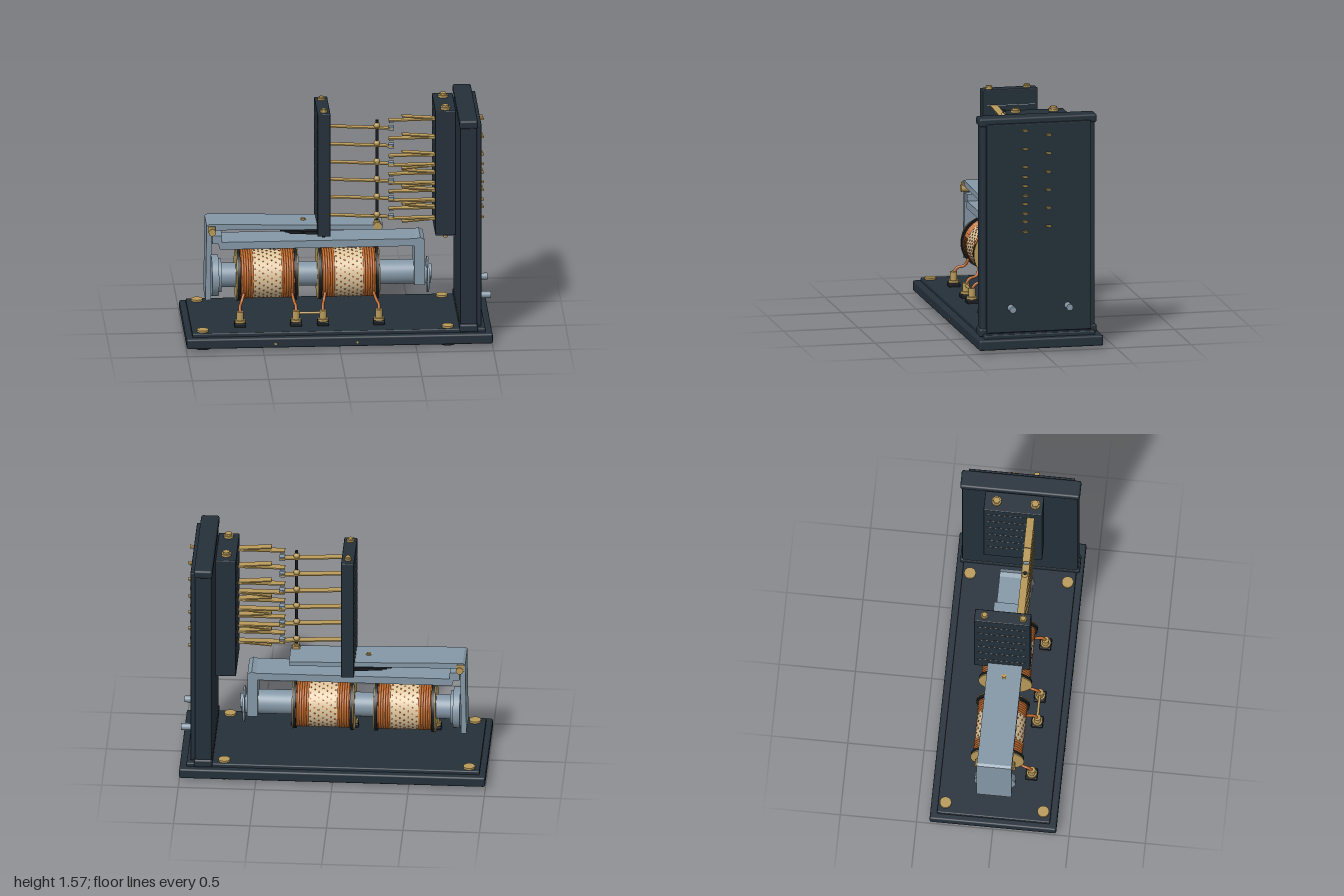
import * as THREE from 'three';
import { mergeGeometries } from 'three/addons/utils/BufferGeometryUtils.js';
import { RoundedBoxGeometry } from 'three/addons/geometries/RoundedBoxGeometry.js';

const mat = (name, color) => Object.assign(new THREE.MeshStandardMaterial({ color }), { name });

export function createModel() {
  const root = new THREE.Group();
  root.name = 'relay';
  const dark = mat('dark panel', 0x24303a), black = mat('black', 0x171c20), brass = mat('brass', 0xb89a5a),
    steel = mat('steel', 0x8497a6), copper = mat('copper', 0xc06a2c), cream = mat('cream wrap', 0xdcc6a0),
    pale = mat('pale seam', 0xa9b0b4);

  const add = (name, geo, m) => {
    const mesh = new THREE.Mesh(geo, m);
    mesh.name = name;
    root.add(mesh);
    return mesh;
  };
  // Box from its limits, with an optional rounded edge
  const box = (name, m, [x0, x1], [y0, y1], [z0, z1], r = 0) => {
    const s = [x1 - x0, y1 - y0, z1 - z0];
    const mesh = add(name, r ? new RoundedBoxGeometry(...s, 2, r) : new THREE.BoxGeometry(...s), m);
    mesh.position.set((x0 + x1) / 2, (y0 + y1) / 2, (z0 + z1) / 2);
    return mesh;
  };
  // Cylinder along an axis, centred on a point
  const rod = (name, m, axis, r, len, [x, y, z], sides = 24) => {
    const geo = new THREE.CylinderGeometry(r, r, len, sides);
    if (axis === 'x') geo.rotateZ(-Math.PI / 2);
    if (axis === 'z') geo.rotateX(Math.PI / 2);
    const mesh = add(name, geo, m);
    mesh.position.set(x, y, z);
    return mesh;
  };
  // Flat strip between two points in the xy plane
  const strip = (name, m, x0, y0, x1, y1, z, w, t) => {
    const mesh = add(name, new THREE.BoxGeometry(Math.hypot(x1 - x0, y1 - y0), t, w), m);
    mesh.position.set((x0 + x1) / 2, (y0 + y1) / 2, z);
    mesh.rotation.z = Math.atan2(y1 - y0, x1 - x0);
    return mesh;
  };
  // Profile in the xy plane, extruded symmetrically in z
  const plate = (name, m, pts, z0, z1) => {
    const geo = new THREE.ExtrudeGeometry(new THREE.Shape(pts.map(p => new THREE.Vector2(...p))),
      { depth: z1 - z0, bevelEnabled: false });
    add(name, geo.translate(0, 0, z0), m);
  };
  const screw = (name, x, y, z, r, h) => {
    rod(name + 'Washer', brass, 'y', r, h * 0.55, [x, y + h * 0.27, z]);
    rod(name + 'Head', brass, 'y', r * 0.75, h, [x, y + h / 2, z], 6);
  };

  // Base with feet and corner screws
  box('base', dark, [-1, 1], [0.02, 0.088], [-0.415, 0.415], 0.012);
  box('baseTop', dark, [-0.96, 0.955], [0.08, 0.113], [-0.37, 0.37], 0.008);
  for (const x of [-0.89, 0.71]) for (const z of [-0.32, 0.32]) {
    rod('foot', black, 'y', 0.052, 0.024, [x, 0.012, z]);
    rod('baseScrew', brass, 'y', 0.038, 0.014, [x, 0.119, z]);
  }
  for (const x of [-0.42, 0.115]) rod('basePin', brass, 'z', 0.008, 0.012, [x, 0.05, 0.414], 12);

  // Upright terminal panel with end caps, tabs and pegs
  box('panel', dark, [0.79, 0.9], [0.095, 1.54], [-0.38, 0.38], 0.012);
  for (const y of [0.092, 1.49]) box('panelCap', dark, [0.785, 0.905], [y, y + 0.056], [-0.392, 0.392], 0.014);
  box('panelPlate', dark, [0.89, 0.93], [0.12, 1.508], [-0.348, 0.348], 0.006);
  const upper = [1.465, 1.34, 1.22, 1.095, 0.975, 0.858];
  const lower = [1.155, 1.03, 0.912, 0.79];
  const moving = [1.43, 1.308, 1.185, 1.065, 0.945, 0.82];
  for (const y of [...upper, ...lower]) box('terminalTab', brass, [0.92, 0.96], [y - 0.005, y + 0.005], [0.08, 0.112]);
  for (const y of moving) box('terminalTab', brass, [0.92, 0.96], [y - 0.005, y + 0.005], [-0.076, -0.044]);
  for (const z of [-0.19, 0.19]) rod('panelPeg', steel, 'x', 0.022, 0.08, [0.96, 0.285, z]);

  // Contact holder blocks with through screws
  box('movingBlock', dark, [-0.13, -0.045], [0.692, 1.535], [-0.21, 0.158], 0.006);
  box('fixedBlock', dark, [0.64, 0.775], [0.685, 1.54], [-0.225, 0.16], 0.006);
  for (const z of [-0.145, 0.108]) {
    screw('movingBlockScrew', -0.087, 1.535, z, 0.024, 0.022);
    screw('fixedBlockScrew', 0.708, 1.54, z, 0.032, 0.028);
    rod('movingBlockBolt', black, 'y', 0.012, 0.02, [-0.087, 0.685, z], 12);
    rod('fixedBlockBolt', brass, 'y', 0.014, 0.03, [0.708, 0.675, z], 12);
  }
  // Thin seams on the block faces
  for (const y of moving) for (const x of [-0.131, -0.044])
    box('blockSeam', pale, [x - 0.001, x + 0.001], [y - 0.0015, y + 0.0015], [-0.19, 0.13]);
  for (const y of upper) box('blockSeam', pale, [0.638, 0.641], [y - 0.0015, y + 0.0015], [-0.2, 0.05]);

  // Moving leaf springs with contact tips and lifter collars
  const zc = 0.085;
  for (const y of moving) {
    strip('movingLeaf', brass, -0.06, y, 0.372, y - 0.023, zc, 0.048, 0.008);
    box('contactTip', steel, [0.338, 0.374], [y - 0.034, y - 0.008], [zc - 0.02, zc + 0.02]);
    add('lifterCollar', new THREE.SphereGeometry(0.021, 16, 12), brass).position.set(0.262, y - 0.002, zc);
  }
  // Fixed leaf springs with stiffeners
  const fixedLeaf = (y, dir) => {
    strip('fixedLeaf', brass, 0.338, y - 0.002, 0.66, y, zc, 0.05, 0.008);
    strip('leafStiffener', brass, 0.425, y + dir * 0.024, 0.66, y + dir * 0.006, zc, 0.05, 0.007);
    box('fixedContact', steel, [0.342, 0.37], dir > 0 ? [y - 0.018, y] : [y - 0.002, y + 0.014], [zc - 0.015, zc + 0.015]);
  };
  upper.forEach(y => fixedLeaf(y, 1));
  lower.forEach(y => fixedLeaf(y, -1));

  // Lifter rod standing on the armature
  rod('lifterRod', black, 'y', 0.01, 0.74, [0.262, 1.095, zc], 12);
  rod('lifterFoot', brass, 'z', 0.027, 0.05, [0.265, 0.742, zc]);
  rod('lifterNut', brass, 'y', 0.02, 0.05, [0.262, 0.755, zc], 6);

  // Bent armature plate, pivot and residual leaves
  plate('armature', steel, [[-0.86, 0.255], [-0.825, 0.255], [-0.82, 0.735], [0.295, 0.72], [0.3, 0.748],
    [-0.835, 0.775], [-0.852, 0.765]], -0.12, 0.108);
  rod('pivotPin', brass, 'z', 0.024, 0.27, [-0.815, 0.725, -0.002]);
  for (const z of [-0.124, 0.118]) box('pivotBracket', brass, [-0.845, -0.795], [0.72, 0.765], [z - 0.006, z + 0.006], 0.004);
  screw('armatureScrew', -0.215, 0.756, -0.005, 0.018, 0.016);
  for (let i = 0; i < 3; i++)
    strip('dampingLeaf', black, -0.37 + i * 0.03, 0.716 - i * 0.008, -0.1, 0.703 - i * 0.007, -0.005, 0.2, 0.006);

  // Yoke: top bar, raised heel and front leg
  plate('yoke', steel, [[-0.815, 0.64], [-0.775, 0.64], [-0.765, 0.6], [0.505, 0.6], [0.505, 0.33], [0.575, 0.33],
    [0.572, 0.642], [0.545, 0.658], [0.515, 0.65], [-0.75, 0.65], [-0.75, 0.695], [-0.815, 0.695]], -0.107, 0.105);

  // Magnet core with pole disc and end washer
  const cy = 0.395, cz = -0.005;
  rod('core', steel, 'x', 0.08, 1.32, [-0.12, 0.39, cz], 40);
  rod('poleDisc', steel, 'x', 0.135, 0.045, [-0.793, 0.388, cz], 40);
  rod('poleShoulder', steel, 'x', 0.11, 0.02, [-0.762, 0.388, cz], 40);
  rod('coreNut', steel, 'x', 0.06, 0.06, [0.585, 0.37, cz], 6);
  rod('endWasher', steel, 'x', 0.118, 0.012, [0.598, 0.368, cz], 40);
  rod('endNut', steel, 'x', 0.05, 0.03, [0.608, 0.39, cz], 24);

  // Two coils: flanges, copper end turns and a cream wrap with studs
  for (const x of [-0.455, 0.077]) {
    for (const s of [-1, 1]) {
      rod('coilFlange', black, 'x', 0.174, 0.022, [x + s * 0.187, cy, cz], 48);
      rod('flangeFacing', brass, 'x', 0.176, 0.006, [x + s * 0.2, cy, cz], 48);
      const turns = [];
      for (let i = 0; i < 6; i++)
        turns.push(new THREE.TorusGeometry(0.153, 0.009, 8, 40).rotateY(Math.PI / 2).translate(s * (0.1 + i * 0.0155), 0, 0));
      add('endTurns', mergeGeometries(turns), copper).position.set(x, cy, cz);
    }
    rod('coilBody', copper, 'x', 0.15, 0.37, [x, cy, cz], 48);
    rod('coilWrap', cream, 'x', 0.159, 0.186, [x, cy, cz], 48);
    const studs = [];
    for (let i = 0; i < 7; i++) for (let j = 0; j < 24; j++)
      studs.push(new THREE.CylinderGeometry(0.0065, 0.0065, 0.004, 6).translate((i - 3) * 0.027, 0.16, 0)
        .rotateX((j + i * 0.4) / 24 * Math.PI * 2));
    add('wrapStuds', mergeGeometries(studs), copper).position.set(x, cy, cz);
  }

  // Terminal posts with lead wires and the linking bar
  for (const [x, lead] of [[-0.64, 0.03], [-0.275, -0.02], [-0.098, 0.02], [0.267, -0.03]]) {
    box('postBase', black, [x - 0.038, x + 0.038], [0.11, 0.138], [0.182, 0.258], 0.006);
    rod('postWasher', brass, 'y', 0.034, 0.016, [x, 0.146, 0.22]);
    rod('post', brass, 'y', 0.023, 0.06, [x, 0.18, 0.22]);
    const path = new THREE.CatmullRomCurve3([[x, 0.2, 0.22], [x, 0.235, 0.195], [x + lead * 0.4, 0.25, 0.15],
      [x + lead, 0.3, 0.125]].map(p => new THREE.Vector3(...p)));
    add('leadWire', new THREE.TubeGeometry(path, 16, 0.01, 8), copper);
  }
  rod('linkBar', brass, 'x', 0.009, 0.18, [-0.187, 0.193, 0.22], 12);

  return root;
}
